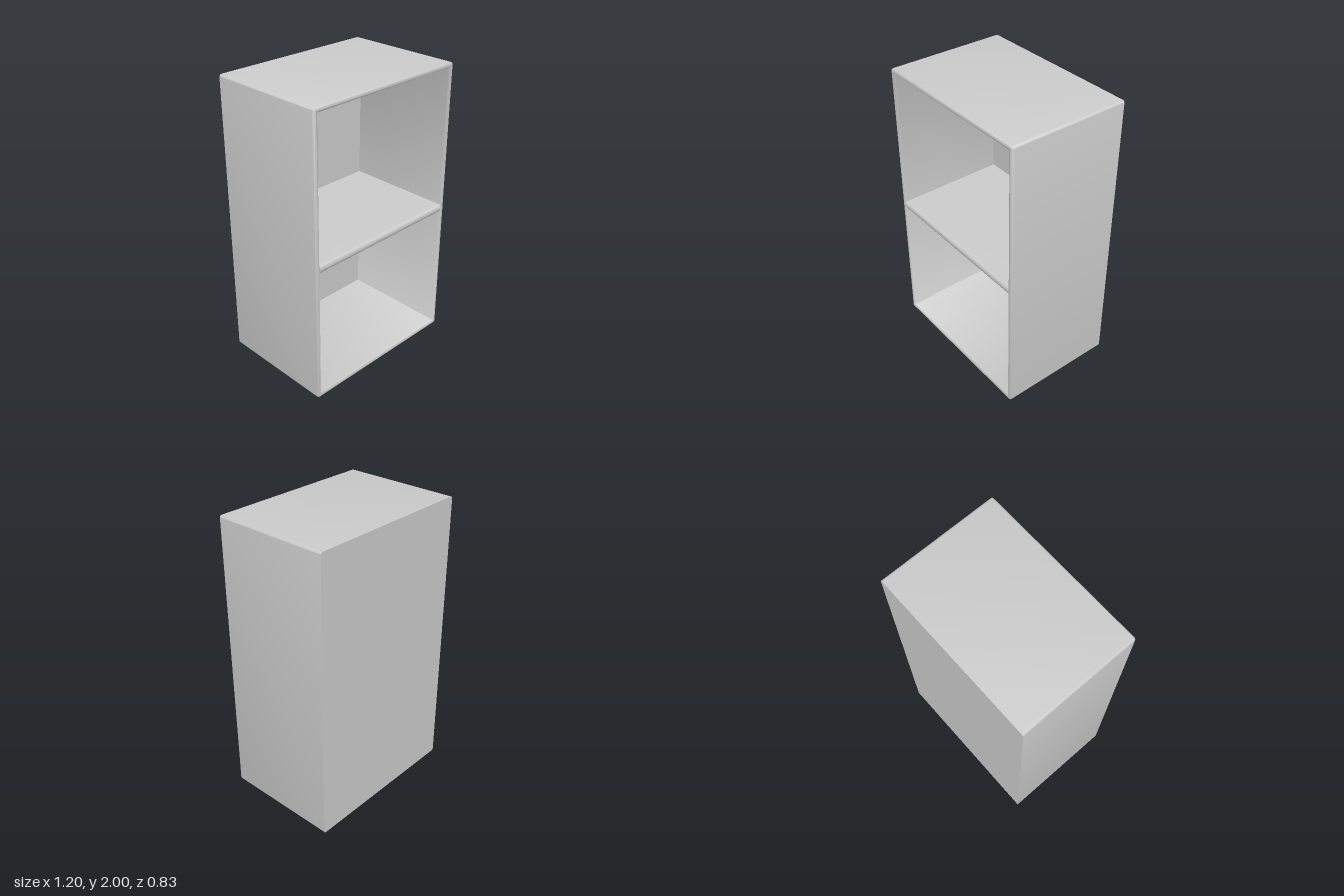
import * as THREE from 'three';
import { toCreasedNormals } from 'three/addons/utils/BufferGeometryUtils.js';

const W = 0.6, H = 2, D = 0.415; // half width, height, half depth
const WALL = 0.033, BACK = 0.055, ROUND = 0.016;
const material = new THREE.MeshStandardMaterial({ color: 0xcccccc, side: THREE.DoubleSide });

function part(name, geometry) {
  const mesh = new THREE.Mesh(geometry, material);
  mesh.name = name;
  return mesh;
}

// Rounded rectangle around the cabinet, moved inwards by inset, at depth z
function ring(inset, z) {
  const r = Math.max(ROUND - inset, 0.001), steps = 4, points = [];
  const x = W - inset - r, y = H / 2 - inset - r;
  [[1, 1], [-1, 1], [-1, -1], [1, -1]].forEach(([sx, sy], corner) => {
    for (let i = 0; i <= steps; i++) {
      const a = (corner + i / steps) * Math.PI / 2;
      points.push([sx * x + r * Math.cos(a), H / 2 + sy * y + r * Math.sin(a), z]);
    }
  });
  return points;
}

// Skin that joins successive rings
function loft(rings) {
  const n = rings[0].length, index = [];
  for (let k = 0; k < rings.length - 1; k++) {
    for (let i = 0; i < n; i++) {
      const a = k * n + i, b = k * n + (i + 1) % n;
      index.push(a, b, b + n, a, b + n, a + n);
    }
  }
  const geometry = new THREE.BufferGeometry();
  geometry.setAttribute('position', new THREE.Float32BufferAttribute(rings.flat(2), 3));
  geometry.setIndex(index);
  return toCreasedNormals(geometry.toNonIndexed(), 0.7);
}

export function createModel() {
  const group = new THREE.Group();
  group.name = 'openCabinet';

  // Four walls with a rounded front lip, sharp at the back
  const rings = [ring(WALL, -D), ring(0, -D)];
  for (let i = 0; i <= 8; i++) {
    const a = Math.PI * (1 - i / 8);
    rings.push(ring(WALL / 2 * (1 + Math.cos(a)), D - 0.015 + 0.015 * Math.sin(a)));
  }
  rings.push(ring(WALL, -D));
  group.add(part('cabinetWalls', loft(rings)));

  // Back panel, flush with the rear of the walls
  const back = part('backPanel', new THREE.BoxGeometry(2 * (W - WALL), H - 2 * WALL, BACK));
  back.position.set(0, H / 2, -D + BACK / 2);
  group.add(back);

  // Middle shelf with a half-round front edge
  const bottom = 0.945, top = 1.0, half = (top - bottom) / 2, nose = 0.02;
  const profile = new THREE.Shape();
  profile.moveTo(-D + BACK, bottom);
  profile.lineTo(D - nose, bottom);
  profile.absellipse(D - nose, bottom + half, nose, half, -Math.PI / 2, Math.PI / 2, false, 0);
  profile.lineTo(-D + BACK, top);
  const shelf = new THREE.ExtrudeGeometry(profile, { depth: 2 * (W - WALL), bevelEnabled: false, curveSegments: 12 });
  shelf.rotateY(-Math.PI / 2).translate(W - WALL, 0, 0);
  group.add(part('shelf', toCreasedNormals(shelf, 0.6)));

  return group;
}
